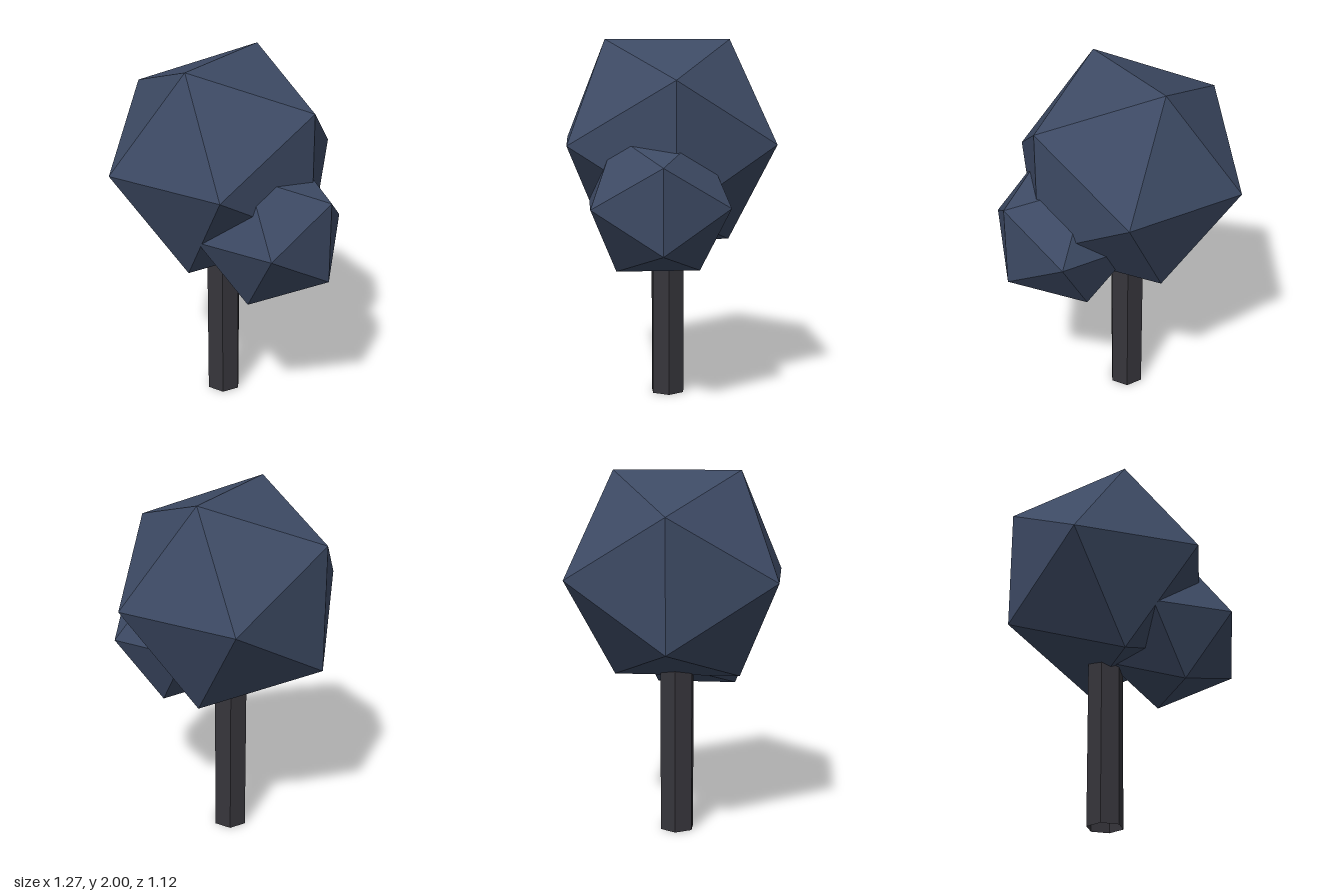
import * as THREE from 'three';

export function createModel() {
  const tree = new THREE.Group();
  tree.name = 'tree';

  const foliage = new THREE.MeshStandardMaterial({ color: 0x3d4a64, flatShading: true });
  foliage.name = 'dark blue foliage';
  const bark = new THREE.MeshStandardMaterial({ color: 0x36353b, flatShading: true, side: THREE.DoubleSide });
  bark.name = 'charcoal bark';

  // Hexagonal trunk, open at the ends, with corners pointing along x
  const trunkHeight = 1.2;
  const trunk = new THREE.Mesh(
    new THREE.CylinderGeometry(0.1, 0.1, trunkHeight, 6, 1, true).rotateY(Math.PI / 2), bark);
  trunk.name = 'trunk';
  trunk.position.set(-0.08, trunkHeight / 2, 0);
  tree.add(trunk);

  // Icosahedral leaf clumps, each with an edge on top running along z
  const addClump = (name, radius, x, y, z) => {
    const clump = new THREE.Mesh(
      new THREE.IcosahedronGeometry(radius, 0).rotateY(Math.PI / 2), foliage);
    clump.name = name;
    clump.position.set(x, y, z);
    tree.add(clump);
  };
  addClump('mainCrown', 0.658, -0.078, 1.44, 0);
  addClump('sideClump', 0.427, 0.273, 1.131, 0.078);

  return tree;
}
